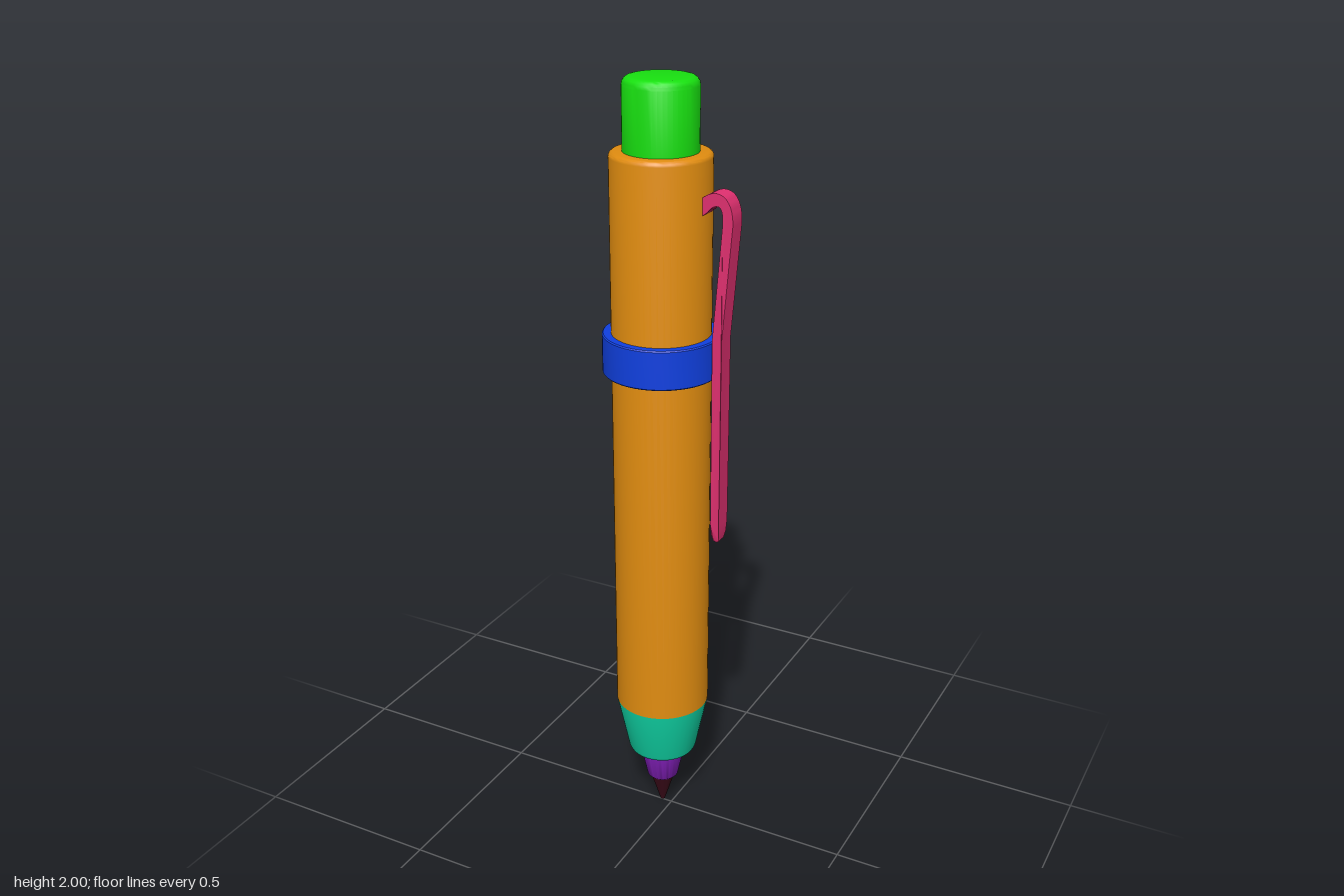
import * as THREE from 'three';
import { toCreasedNormals } from 'three/addons/utils/BufferGeometryUtils.js';

const AXIS_X = -0.027;

function part(name, geometry, color) {
  const mesh = new THREE.Mesh(
    toCreasedNormals(geometry, 0.6),
    new THREE.MeshStandardMaterial({ color, side: THREE.DoubleSide })
  );
  mesh.name = name;
  return mesh;
}

// Turned part on the pen's axis; profile is [radius, y] from bottom to top
function turned(name, profile, color) {
  const points = profile.map(([r, y]) => new THREE.Vector2(r, y));
  const mesh = part(name, new THREE.LatheGeometry(points, 48), color);
  mesh.position.x = AXIS_X;
  return mesh;
}

// Quarter-round edge from the side (r, y - f) to the top (r - f, y)
function roundedTop(r, y, f, steps = 4) {
  return Array.from({ length: steps + 1 }, (_, i) => {
    const a = (i / steps) * Math.PI / 2;
    return [r - f + f * Math.cos(a), y - f + f * Math.sin(a)];
  });
}

// Flat strip bent over at the top, narrowing to a rounded lower end
function clipGeometry() {
  const s = new THREE.Shape();
  s.moveTo(0.08, 1.725);
  s.lineTo(0.095, 1.74);
  s.quadraticCurveTo(0.125, 1.762, 0.15, 1.745);
  s.quadraticCurveTo(0.172, 1.725, 0.171, 1.68);
  s.lineTo(0.147, 1.4);
  s.lineTo(0.146, 0.91);
  s.lineTo(0.145, 0.88);
  s.lineTo(0.142, 0.862);
  s.lineTo(0.134, 0.857);
  s.lineTo(0.127, 0.862);
  s.lineTo(0.124, 0.88);
  s.lineTo(0.123, 0.91);
  s.lineTo(0.122, 1.4);
  s.lineTo(0.145, 1.68);
  s.quadraticCurveTo(0.147, 1.715, 0.135, 1.722);
  s.quadraticCurveTo(0.12, 1.725, 0.105, 1.705);
  s.lineTo(0.08, 1.685);
  const geometry = new THREE.ExtrudeGeometry(s, { depth: 0.05, bevelEnabled: false, curveSegments: 8 });
  geometry.translate(0, 0, -0.025);
  const p = geometry.attributes.position;
  for (let i = 0; i < p.count; i++) {
    const t = Math.max(0, (0.91 - p.getY(i)) / 0.053);
    p.setZ(i, p.getZ(i) * (1 - 0.5 * t * t));
  }
  return geometry;
}

export function createModel() {
  const pen = new THREE.Group();
  pen.name = 'pen';
  pen.add(
    turned('writingPoint', [[0, 0], [0.006, 0.004], [0.034, 0.095], [0, 0.095]], 0x3a0a18),
    turned('tipSleeve', [[0, 0.09], [0.036, 0.09], [0.042, 0.096], [0.062, 0.19], [0, 0.19]], 0x8a22c4),
    turned('noseCone', [[0, 0.188], [0.082, 0.188], [0.088, 0.192], [0.092, 0.2], [0.123, 0.35], [0, 0.35]], 0x10d8a8),
    turned('barrel', [[0, 0.35], [0.123, 0.35], ...roundedTop(0.123, 1.83, 0.012), [0, 1.83]], 0xe08c10),
    turned('ring', [[0.12, 1.29], [0.142, 1.29], [0.145, 1.293], [0.145, 1.387], [0.142, 1.39], [0.12, 1.39]], 0x1040e0),
    turned('pushButton', [[0.091, 1.82], ...roundedTop(0.091, 2, 0.02), [0, 2]], 0x18e010),
    part('pocketClip', clipGeometry(), 0xe03070)
  );
  return pen;
}
